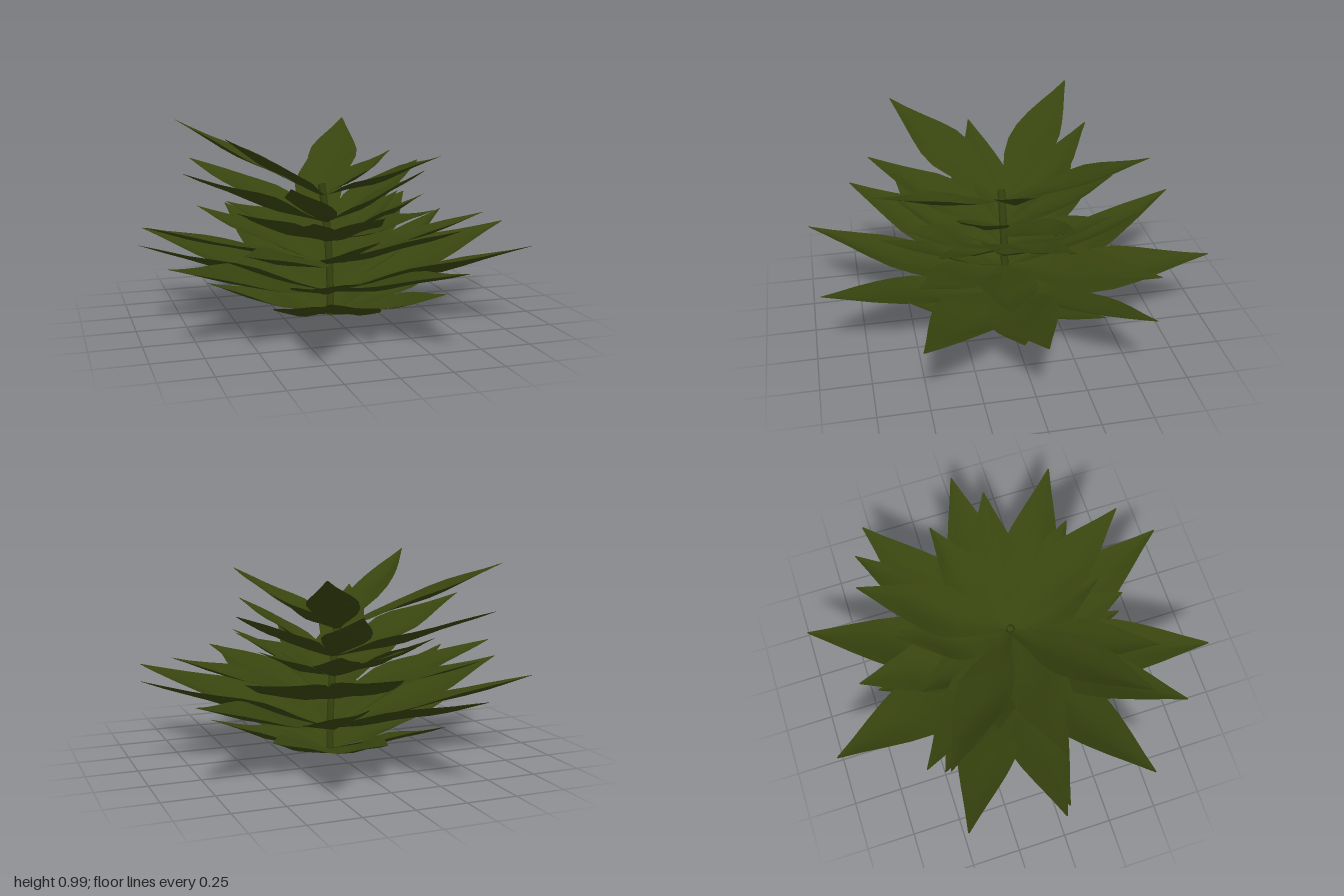
import * as THREE from 'three';

const leafGreen = new THREE.MeshStandardMaterial({ color: 0x38440f, side: THREE.DoubleSide });
leafGreen.name = 'leafGreen';

// Half-width along a leaf: narrow stalk, broad middle, long pointed tip
const OUTLINE = [0.12, 0.3, 0.58, 0.86, 1, 0.95, 0.76, 0.52, 0.26, 0.02];
const ACROSS = [-1, -0.5, 0, 0.5, 1];

// Leaf blade from base to tip, folded along its midrib and slightly rolled
function leafGeometry(base, tip, half, roll) {
  const along = new THREE.Vector3().subVectors(tip, base);
  const side = new THREE.Vector3(along.z, 0, -along.x).normalize();
  const up = new THREE.Vector3().crossVectors(along, side).normalize();
  side.applyAxisAngle(along.clone().normalize(), roll);
  const pos = [], index = [];
  const rows = OUTLINE.length, cols = ACROSS.length;
  OUTLINE.forEach((w, i) => {
    const t = i / (rows - 1);
    ACROSS.forEach((a, j) => {
      const fold = Math.abs(a) * w * half * 0.25;
      const sag = -0.02 * Math.sin(Math.PI * t) + 0.008 * Math.sin(t * 9 + roll * 40 + a * 2) * w;
      const p = base.clone().addScaledVector(along, t)
        .addScaledVector(side, a * w * half).addScaledVector(up, fold + sag);
      pos.push(p.x, Math.max(p.y, 0), p.z);
      if (i < rows - 1 && j < cols - 1) {
        const k = i * cols + j;
        index.push(k, k + cols, k + 1, k + 1, k + cols, k + cols + 1);
      }
    });
  });
  const g = new THREE.BufferGeometry();
  g.setAttribute('position', new THREE.Float32BufferAttribute(pos, 3));
  g.setIndex(index);
  g.computeVertexNormals();
  return g;
}

// Whorls from the ground up: stalk height, half-width, leaf tips [x, y, z]
const WHORLS = [
  { name: 'groundLeaves', y: 0.015, half: 0.13, tips: [
    [0.62, 0.22, 0.03], [0.45, 0.2, 0.46], [0.03, 0.22, 0.66], [-0.42, 0.2, 0.45],
    [-0.64, 0.22, -0.03], [-0.43, 0.2, -0.45], [0.0, 0.22, -0.71], [0.45, 0.2, -0.42]] },
  { name: 'longLeaves', y: 0.13, half: 0.17, tips: [
    [0.97, 0.45, 0], [0.87, 0.43, 0.53], [0.34, 0.43, 0.95], [-0.35, 0.43, 0.99], [-0.9, 0.43, 0.49],
    [-0.97, 0.44, 0], [-0.9, 0.43, -0.48], [-0.35, 0.45, -0.99], [0.34, 0.44, -0.97], [0.84, 0.43, -0.54]] },
  { name: 'middleLeaves', y: 0.28, half: 0.15, tips: [
    [0.79, 0.53, 0.13], [0.5, 0.52, 0.5], [0.02, 0.52, 0.64], [-0.62, 0.53, 0.75],
    [-0.94, 0.53, 0.02], [-0.6, 0.53, -0.5], [-0.04, 0.53, -0.78], [0.64, 0.53, -0.62]] },
  { name: 'innerLeaves', y: 0.4, half: 0.12, tips: [
    [0.47, 0.64, 0.1], [0.4, 0.61, 0.4], [0.1, 0.61, 0.53], [-0.25, 0.61, 0.55],
    [-0.53, 0.61, 0.2], [-0.5, 0.6, -0.2], [-0.2, 0.61, -0.5], [0.15, 0.6, -0.52], [0.46, 0.6, -0.25]] },
  { name: 'upperLeaves', y: 0.5, half: 0.125, tips: [
    [0.56, 0.77, -0.22], [0.39, 0.79, 0.3], [-0.38, 0.79, 0.65],
    [-0.76, 0.79, 0.06], [-0.62, 0.78, -0.58], [0.05, 0.78, -0.54]] },
  { name: 'crownLeaves', y: 0.64, half: 0.13, tips: [
    [0.31, 0.91, 0.67], [-0.64, 1.0, 0.5], [-0.71, 1.0, -0.48], [0.27, 0.97, -0.65], [0.34, 0.85, -0.06]] },
];

export function createModel() {
  const model = new THREE.Group();
  model.name = 'plant';

  // Gently leaning stem
  const path = new THREE.QuadraticBezierCurve3(
    new THREE.Vector3(0, 0.01, 0), new THREE.Vector3(0, 0.4, 0), new THREE.Vector3(-0.05, 0.7, 0.01));
  const stem = new THREE.Mesh(new THREE.TubeGeometry(path, 10, 0.02, 8), leafGreen);
  stem.name = 'stem';
  model.add(stem);

  // Whorls of leaves around the stem
  WHORLS.forEach((whorl, n) => {
    const group = new THREE.Group();
    group.name = whorl.name;
    whorl.tips.forEach((t, i) => {
      const base = path.getPoint(Math.min(1, whorl.y / 0.7));
      base.y = whorl.y;
      const roll = 0.2 * Math.sin(i * 2.4 + n * 1.7);
      const leaf = new THREE.Mesh(
        leafGeometry(base, new THREE.Vector3(...t), whorl.half, roll), leafGreen);
      leaf.name = 'leaf';
      group.add(leaf);
    });
    model.add(group);
  });
  return model;
}
